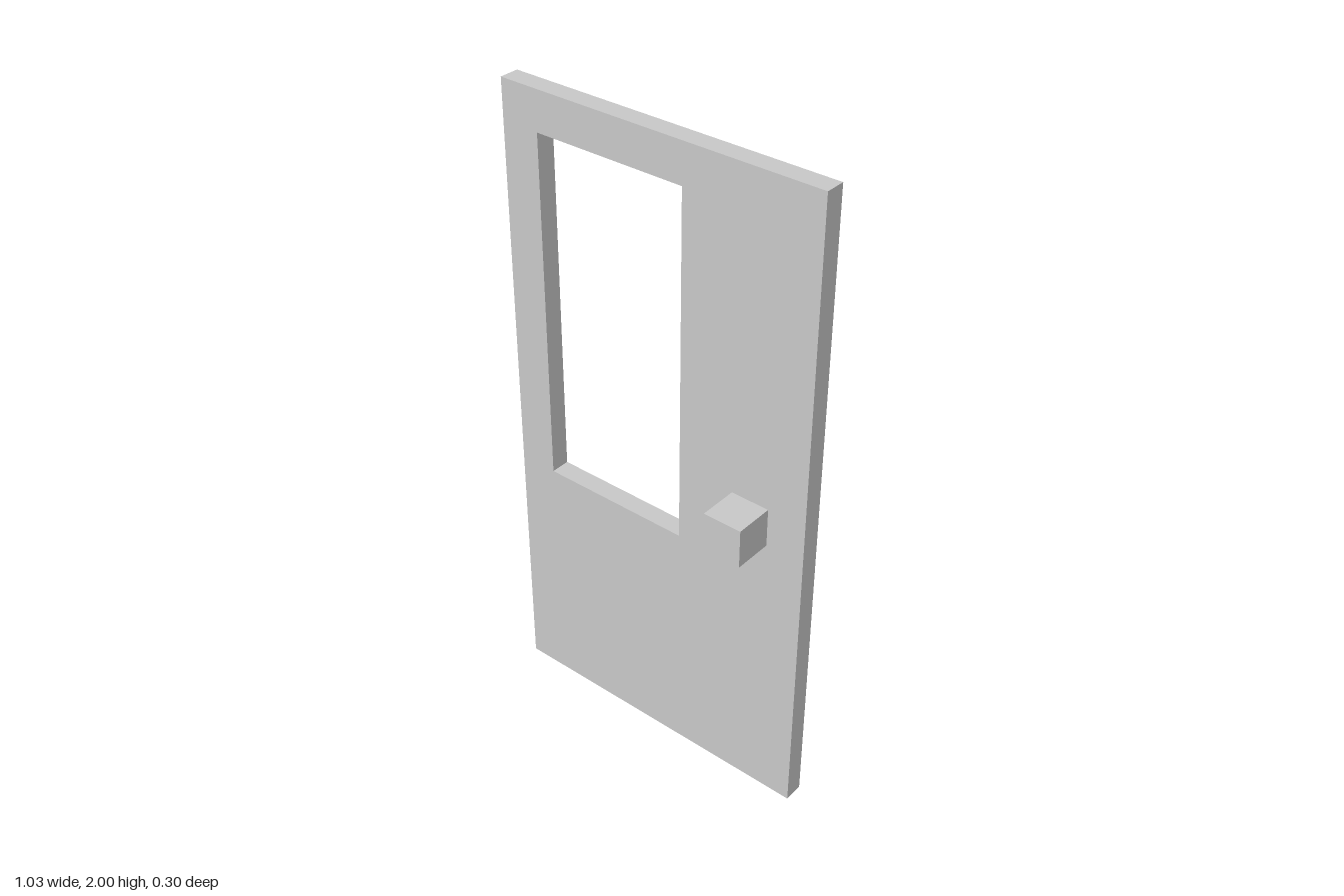
import * as THREE from 'three';

const U = 2 / 66; // design grid: the door is 66 units tall

// Rectangle corners in grid units
function corners(x0, y0, x1, y1) {
  return [[x0, y0], [x1, y0], [x1, y1], [x0, y1]].map(([x, y]) => new THREE.Vector2(x * U, y * U));
}

export function createModel() {
  const door = new THREE.Group();
  door.name = 'door';
  const material = new THREE.MeshStandardMaterial({ color: 0xcccccc, flatShading: true });

  // Slab with an off-centre window opening
  const outline = new THREE.Shape(corners(-17, 0, 17, 66));
  outline.holes.push(new THREE.Path(corners(-13, 26, 3, 62).reverse()));
  const thickness = 2 * U;
  const slabGeometry = new THREE.ExtrudeGeometry(outline, { depth: thickness, bevelEnabled: false });
  slabGeometry.translate(0, 0, -thickness / 2);
  const slab = new THREE.Mesh(slabGeometry, material);
  slab.name = 'doorPanel';
  door.add(slab);

  // Cube knobs, one on each face
  const size = 4 * U;
  for (const [name, side] of [['frontKnob', 1], ['backKnob', -1]]) {
    const knob = new THREE.Mesh(new THREE.BoxGeometry(size, size, size), material);
    knob.name = name;
    knob.position.set(11 * U, 32 * U, side * (thickness + size) / 2);
    knob.position.z = side * (thickness / 2 + size / 2);
    door.add(knob);
  }

  return door;
}
